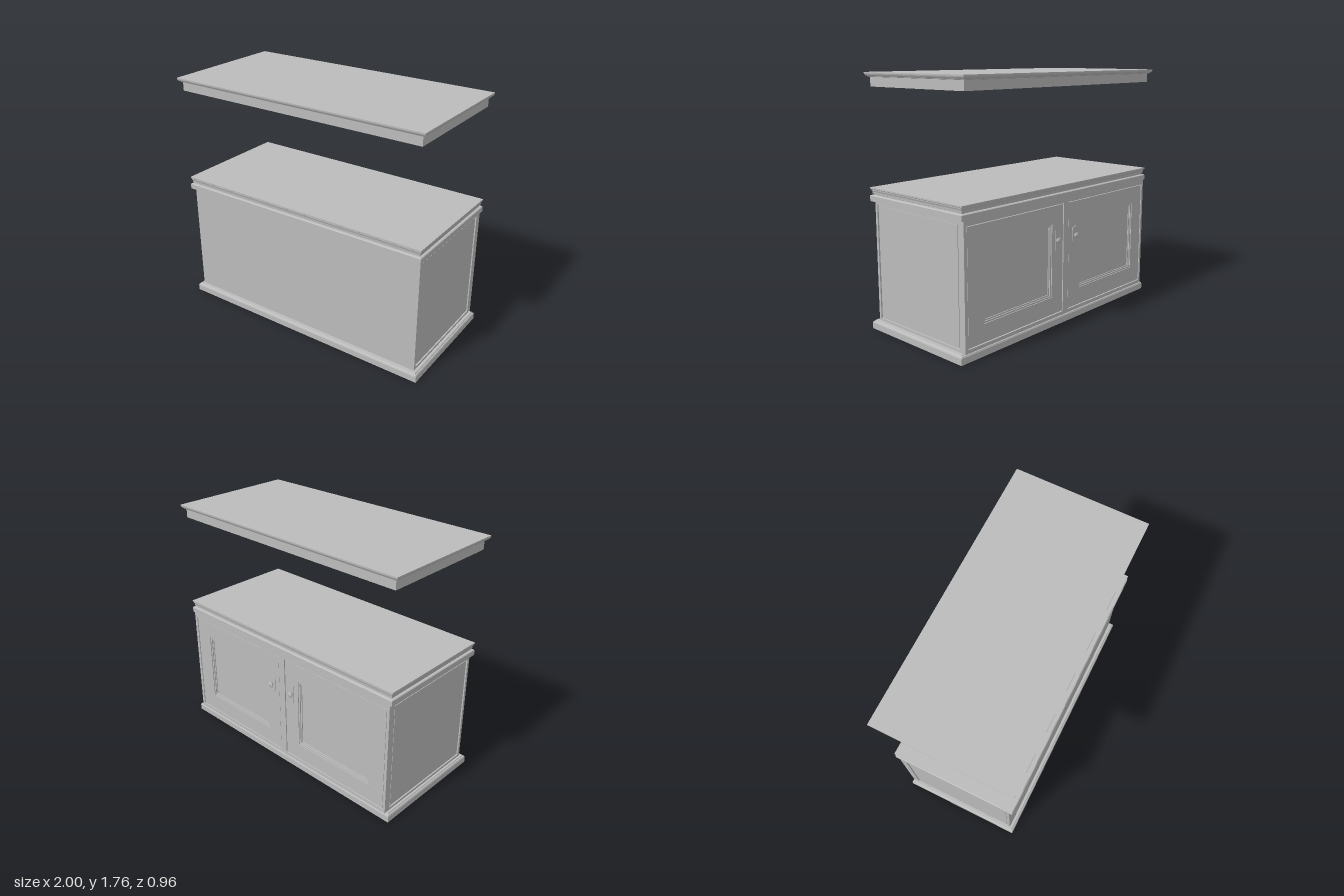
import * as THREE from 'three';

const grey = new THREE.MeshStandardMaterial({ color: 0xbcbcbc });
grey.name = 'light grey';

// Stack of rectangles swept along a profile of [inset, y], capped at both ends
function moulding(name, [x0, x1, z0, z1], profile) {
  const pos = [];
  const rings = profile.map(([i, y]) => [
    [x0 + i, y, z1 - i], [x1 - i, y, z1 - i], [x1 - i, y, z0 + i], [x0 + i, y, z0 + i],
  ]);
  const quad = (a, b, c, d) => pos.push(...a, ...b, ...c, ...a, ...c, ...d);
  for (let k = 0; k + 1 < rings.length; k++) {
    const lo = rings[k], hi = rings[k + 1];
    for (let j = 0; j < 4; j++) {
      const n = (j + 1) % 4;
      quad(lo[j], lo[n], hi[n], hi[j]);
    }
  }
  const [a, b, c, d] = rings[0];
  quad(d, c, b, a);
  quad(...rings[rings.length - 1]);
  const geo = new THREE.BufferGeometry();
  geo.setAttribute('position', new THREE.Float32BufferAttribute(pos, 3));
  geo.computeVertexNormals();
  return mesh(name, geo);
}

function mesh(name, geo, x = 0, y = 0, z = 0) {
  const m = new THREE.Mesh(geo, grey);
  m.name = name;
  m.position.set(x, y, z);
  return m;
}

// Box from its limits
function block(name, x0, x1, y0, y1, z0, z1) {
  return mesh(name, new THREE.BoxGeometry(x1 - x0, y1 - y0, z1 - z0),
    (x0 + x1) / 2, (y0 + y1) / 2, (z0 + z1) / 2);
}

// Flat board with rectangular openings; rectangles are [x0, x1, y0, y1]
function board(name, outer, holes, depth, z = 0) {
  const trace = (p, [x0, x1, y0, y1]) =>
    p.moveTo(x0, y0).lineTo(x1, y0).lineTo(x1, y1).lineTo(x0, y1).closePath();
  const shape = trace(new THREE.Shape(), outer);
  for (const h of holes) shape.holes.push(trace(new THREE.Path(), h));
  return mesh(name, new THREE.ExtrudeGeometry(shape, { depth, bevelEnabled: false }), 0, 0, z);
}

const grow = ([x0, x1, y0, y1], g) => [x0 - g, x1 + g, y0 - g, y1 + g];

// Door with recessed panel, bead, handle plate and knob; side is +1 or -1
function door(name, opening, panel, knobX, side) {
  const g = new THREE.Group();
  g.name = name;
  g.add(board('doorFrame', grow(opening, -0.005), [panel], 0.033, -0.447));
  g.add(board('panelBeadOuter', panel, [grow(panel, -0.012)], 0.025, -0.441));
  g.add(board('panelBeadInner', grow(panel, -0.012), [grow(panel, -0.022)], 0.02, -0.434));
  g.add(block('doorPanel', panel[0], panel[1], panel[2], panel[3], -0.428, -0.412));

  // Half-oval handle plate
  const plate = new THREE.Shape();
  plate.moveTo(0.012 * side, -0.07);
  plate.quadraticCurveTo(-0.03 * side, -0.06, -0.03 * side, -0.015);
  plate.lineTo(-0.03 * side, 0.03);
  plate.quadraticCurveTo(-0.03 * side, 0.065, 0.012 * side, 0.07);
  plate.closePath();
  g.add(mesh('handlePlate', new THREE.ExtrudeGeometry(plate,
    { depth: 0.006, bevelEnabled: false, curveSegments: 10 }), knobX, 0.62, -0.452));

  const profile = [[0, 0], [0.012, 0], [0.009, 0.008], [0.019, 0.014], [0.022, 0.02],
    [0.018, 0.025], [0, 0.028]].map(p => new THREE.Vector2(...p));
  const knob = mesh('knob', new THREE.LatheGeometry(profile, 24), knobX, 0.62, -0.45);
  knob.rotation.x = -Math.PI / 2;
  g.add(knob);
  return g;
}

export function createModel() {
  const root = new THREE.Group();
  root.name = 'cabinet';

  // Plinth and carcass
  root.add(moulding('plinth', [-1, 1, -0.45, 0.455],
    [[0, 0], [0, 0.043], [0.004, 0.052], [0.012, 0.056], [0.015, 0.062]]));
  root.add(block('carcass', -0.96, 0.955, 0.06, 0.92, -0.412, 0.42));

  // Side frames around shallow panels
  for (const x of [-0.97, 0.955]) {
    const frame = board('sideFrame', [-0.42, 0.412, 0.06, 0.91], [[-0.4, 0.4, 0.08, 0.885]], 0.01);
    frame.rotation.y = Math.PI / 2;
    frame.position.x = x;
    root.add(frame);
    const panel = board('sidePanel', [-0.39, 0.39, 0.09, 0.875], [], 0.006);
    panel.rotation.y = Math.PI / 2;
    panel.position.x = x < 0 ? x + 0.005 : x - 0.001;
    root.add(panel);
  }

  // Face frame and doors
  const openings = [[0.02, 0.94, 0.085, 0.87], [-0.95, -0.035, 0.085, 0.87]];
  root.add(board('faceFrame', [-0.97, 0.965, 0.06, 0.91], openings, 0.038, -0.45));
  root.add(door('leftDoor', openings[0], [0.14, 0.8, 0.215, 0.74], 0.092, 1));
  root.add(door('rightDoor', openings[1], [-0.825, -0.165, 0.215, 0.74], -0.107, -1));

  // Cornice under the fixed top
  root.add(moulding('cornice', [-0.985, 0.982, -0.452, 0.453],
    [[0, 0.905], [0, 0.942], [0.006, 0.947], [0.018, 0.948], [0.018, 0.955], [0.013, 0.957],
      [0.012, 0.97], [0.008, 0.98], [0.008, 0.986], [0.002, 0.99], [0.002, 1.0]]));

  // Raised lid, hollow below
  root.add(moulding('lid', [-1, 0.975, -0.48, 0.477],
    [[0.05, 1.735], [0.05, 1.67], [0.028, 1.67], [0.028, 1.733], [0.017, 1.735],
      [0.015, 1.74], [0.007, 1.742], [0.002, 1.75], [0, 1.757], [0, 1.765]]));
  return root;
}
